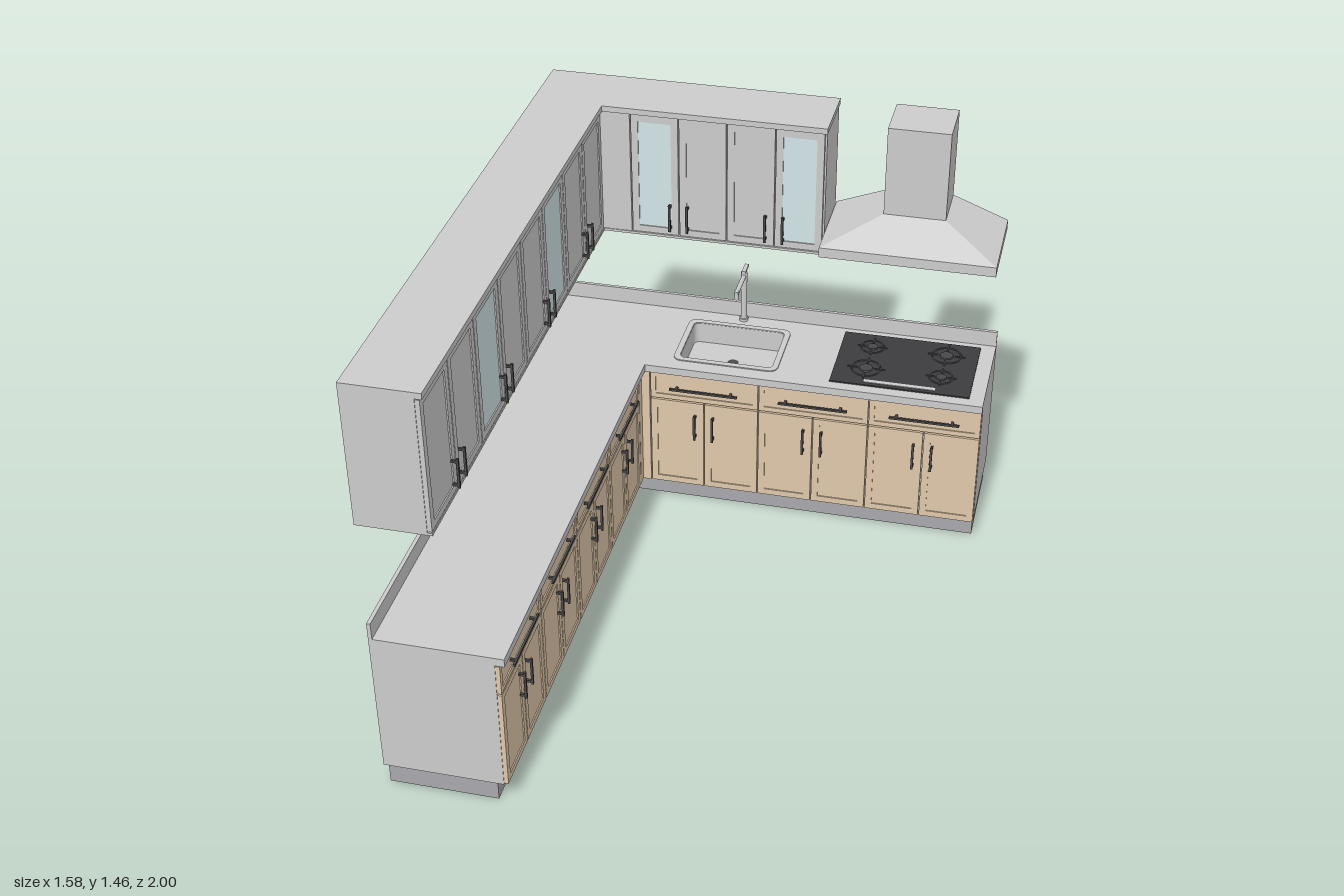
import * as THREE from 'three';

const mat = (color, side = THREE.FrontSide) => new THREE.MeshStandardMaterial({ color, side });
const grey = mat(0xcccccc), wood = mat(0xe0c8aa), stone = mat(0xf0f0ee), plinth = mat(0xa8a8ad);
const dark = mat(0x48484a), black = mat(0x3c3c3f), glassMat = mat(0xd2e4e8);

const BACK = -0.99, FRONT = 1.0, LEFT = -0.79, RIGHT = 0.79;

function add(parent, name, geo, material) {
  const m = new THREE.Mesh(geo, material);
  m.name = name;
  parent.add(m);
  return m;
}

// Box given by its limits on each axis
function box(parent, name, material, x0, x1, y0, y1, z0, z1) {
  const m = add(parent, name, new THREE.BoxGeometry(x1 - x0, y1 - y0, z1 - z0), material);
  m.position.set((x0 + x1) / 2, (y0 + y1) / 2, (z0 + z1) / 2);
  return m;
}

// Trace a rectangle with rounded corners (y of the shape is -z of the model)
function roundRect(path, x0, x1, y0, y1, r) {
  path.moveTo(x0 + r, y0);
  path.lineTo(x1 - r, y0).absarc(x1 - r, y0 + r, r, -Math.PI / 2, 0);
  path.lineTo(x1, y1 - r).absarc(x1 - r, y1 - r, r, 0, Math.PI / 2);
  path.lineTo(x0 + r, y1).absarc(x0 + r, y1 - r, r, Math.PI / 2, Math.PI);
  path.lineTo(x0, y0 + r).absarc(x0 + r, y0 + r, r, Math.PI, Math.PI * 1.5);
  return path;
}

// Extrude a plan shape upwards from y0 to y1
function slab(parent, name, material, shape, y0, y1) {
  const geo = new THREE.ExtrudeGeometry(shape, { depth: y1 - y0, bevelEnabled: false, curveSegments: 6 });
  geo.rotateX(-Math.PI / 2);
  const m = add(parent, name, geo, material);
  m.position.y = y0;
  return m;
}

// L-shaped plan: outer corner at (x0, z0), arms ending at x1 and z1, inner corner at (xi, zi)
function lShape(x0, x1, z0, z1, xi, zi, hole) {
  const pts = [[x0, z0], [x0, z1], [xi, z1], [xi, zi], [x1, zi], [x1, z0]];
  const s = new THREE.Shape(pts.map(([x, z]) => new THREE.Vector2(x, -z)));
  if (hole) s.holes.push(hole);
  return s;
}

// Bar handle on two posts, standing off the plane z = 0
function handle(parent, u, y, length, horizontal) {
  const g = new THREE.Group();
  g.name = 'handle';
  const h = length / 2, t = 0.004;
  box(g, 'handleBar', dark, -t, t, -h, h, 0.013, 0.02);
  for (const s of [-1, 1]) box(g, 'handlePost', dark, -t, t, s * h * 0.8 - t, s * h * 0.8 + t, -0.002, 0.014);
  if (horizontal) g.rotation.z = Math.PI / 2;
  g.position.set(u, y, 0);
  parent.add(g);
}

// Framed door or drawer front, its face on z = 0
function framedFront(parent, name, material, u0, u1, y0, y1, inset, panelMat = material) {
  const gap = 0.002, depth = 0.014;
  const rect = (path, a, b, c, d) => path.setFromPoints([[a, c], [b, c], [b, d], [a, d], [a, c]].map(p => new THREE.Vector2(...p)));
  const s = rect(new THREE.Shape(), u0 + gap, u1 - gap, y0 + gap, y1 - gap);
  s.holes.push(rect(new THREE.Path(), u0 + inset, u1 - inset, y0 + inset, y1 - inset));
  const frame = add(parent, name, new THREE.ExtrudeGeometry(s, { depth, bevelEnabled: false }), material);
  frame.position.z = -depth;
  box(parent, name + 'Panel', panelMat, u0 + inset, u1 - inset, y0 + inset, y1 - inset, -depth, -0.004);
}

// A run of fronts; the left run is turned to face +x (its u axis is then -z)
function run(parent, name, face, turned) {
  const g = new THREE.Group();
  g.name = name;
  if (turned) { g.rotation.y = Math.PI / 2; g.position.x = face; } else g.position.z = face;
  parent.add(g);
  return g;
}

// Base units: one drawer over a pair of doors
function baseUnits(g, start, width, count) {
  for (let i = 0; i < count; i++) {
    const a = start + i * width, b = a + width, c = (a + b) / 2;
    framedFront(g, 'drawer', wood, a, b, 0.435, 0.543, 0.02);
    handle(g, c, 0.488, 0.24, true);
    framedFront(g, 'baseDoor', wood, a, c, 0.08, 0.433, 0.025);
    framedFront(g, 'baseDoor', wood, c, b, 0.08, 0.433, 0.025);
    for (const s of [-1, 1]) handle(g, c + s * 0.032, 0.337, 0.1, false);
  }
}

// Wall doors in pairs; glazed lists the indices with glass panels
function wallDoors(g, start, width, count, glazed) {
  for (let i = 0; i < count; i++) {
    const a = start + i * width, b = a + width;
    framedFront(g, 'wallDoor', grey, a, b, 0.995, 1.434, 0.026, glazed.includes(i) ? glassMat : grey);
    handle(g, i % 2 ? a + 0.03 : b - 0.03, 1.067, 0.1, false);
  }
}

export function createModel() {
  const model = new THREE.Group();
  model.name = 'cornerKitchen';
  const sinkHole = () => roundRect(new THREE.Path(), -0.28, 0.06, 0.655, 0.9, 0.025);

  // Base cabinets
  slab(model, 'toeKick', plinth, lShape(-0.78, 0.785, -0.98, 0.985, -0.435, -0.64), 0, 0.08);
  slab(model, 'baseCarcass', grey, lShape(LEFT, RIGHT, BACK, FRONT, -0.41, -0.612), 0.078, 0.48);
  slab(model, 'baseCarcassTop', grey, lShape(LEFT, RIGHT, BACK, FRONT, -0.41, -0.612, sinkHole()), 0.48, 0.545);
  const baseBack = run(model, 'backBaseFronts', -0.597, false);
  baseUnits(baseBack, -0.365, 0.385, 3);
  box(baseBack, 'cornerFiller', wood, -0.409, -0.367, 0.08, 0.543, -0.014, 0);
  const baseLeft = run(model, 'leftBaseFronts', -0.396, true);
  baseUnits(baseLeft, -FRONT, 0.39, 4);
  box(baseLeft, 'cornerFiller', wood, 0.562, 0.598, 0.08, 0.543, -0.014, 0);

  // Worktop and upstand
  slab(model, 'countertop', stone, lShape(LEFT, RIGHT, BACK, FRONT, -0.38, -0.587, sinkHole()), 0.545, 0.573);
  slab(model, 'backsplash', stone, lShape(LEFT, RIGHT, BACK, FRONT, -0.778, -0.978), 0.573, 0.63);

  // Sink: rim, basin wall, floor and drain
  const sink = new THREE.Group();
  sink.name = 'sink';
  model.add(sink);
  const ring = (x0, x1, y0, y1, r, t) => {
    const s = roundRect(new THREE.Shape(), x0, x1, y0, y1, r);
    s.holes.push(roundRect(new THREE.Path(), x0 + t, x1 - t, y0 + t, y1 - t, r - t * 0.6));
    return s;
  };
  slab(sink, 'sinkRim', grey, ring(-0.295, 0.073, 0.64, 0.915, 0.03, 0.02), 0.572, 0.577);
  slab(sink, 'sinkWall', grey, ring(-0.28, 0.06, 0.655, 0.9, 0.025, 0.006), 0.495, 0.574);
  slab(sink, 'sinkFloor', grey, roundRect(new THREE.Shape(), -0.28, 0.06, 0.655, 0.9, 0.025), 0.49, 0.497);
  add(sink, 'drain', new THREE.CylinderGeometry(0.02, 0.02, 0.004, 20), dark).position.set(-0.11, 0.498, -0.78);

  // Faucet
  const faucet = new THREE.Group();
  faucet.name = 'faucet';
  faucet.position.set(-0.11, 0, -0.955);
  model.add(faucet);
  add(faucet, 'faucetBase', new THREE.CylinderGeometry(0.016, 0.016, 0.01, 20), grey).position.y = 0.578;
  add(faucet, 'faucetColumn', new THREE.CylinderGeometry(0.011, 0.011, 0.195, 20), grey).position.y = 0.672;
  const spout = add(faucet, 'spout', new THREE.CylinderGeometry(0.008, 0.008, 0.13, 16), grey);
  spout.rotation.x = Math.PI / 2;
  spout.position.set(0, 0.755, 0.065);
  add(faucet, 'spoutOutlet', new THREE.CylinderGeometry(0.008, 0.008, 0.032, 16), grey).position.set(0, 0.747, 0.125);
  box(faucet, 'lever', grey, -0.007, 0.007, 0.769, 0.777, -0.045, 0.011);

  // Cooktop with burners, pan supports and control strip
  const cooktop = new THREE.Group();
  cooktop.name = 'cooktop';
  model.add(cooktop);
  box(cooktop, 'cooktopPlate', black, 0.26, 0.74, 0.572, 0.578, -0.95, -0.627);
  box(cooktop, 'controlStrip', grey, 0.375, 0.62, 0.577, 0.58, -0.658, -0.642);
  for (const [x, z, r] of [[0.37, -0.87, 0.04], [0.63, -0.87, 0.05], [0.37, -0.73, 0.05], [0.63, -0.73, 0.04]]) {
    const burner = new THREE.Group();
    burner.name = 'burner';
    burner.position.set(x, 0.579, z);
    cooktop.add(burner);
    add(burner, 'burnerRing', new THREE.TorusGeometry(r, 0.003, 6, 28).rotateX(Math.PI / 2), dark);
    add(burner, 'burnerCap', new THREE.CylinderGeometry(r * 0.45, r * 0.5, 0.006, 20), dark);
    for (let i = 0; i < 4; i++) {
      const arm = add(burner, 'panSupport', new THREE.BoxGeometry(r * 0.7, 0.004, 0.005).translate(r * 0.95, 0.001, 0), dark);
      arm.rotation.y = i * Math.PI / 2;
    }
  }

  // Wall cabinets
  slab(model, 'wallCabinetBase', grey, lShape(LEFT, 0.2, BACK, FRONT, -0.56, -0.762), 0.985, 0.994);
  slab(model, 'wallCarcass', grey, lShape(LEFT, 0.2, BACK, FRONT, -0.575, -0.777), 0.994, 1.436);
  slab(model, 'cornice', grey, lShape(LEFT, 0.204, BACK, FRONT, -0.553, -0.755), 1.436, 1.456);
  const wallBack = run(model, 'backWallFronts', -0.763, false);
  wallDoors(wallBack, -0.46, 0.164, 4, [0, 3]);
  box(wallBack, 'wallFiller', grey, -0.575, -0.462, 0.995, 1.434, -0.014, 0);
  wallDoors(run(model, 'leftWallFronts', -0.561, true), -FRONT, 0.22, 8, [2, 5]);

  // Extractor hood
  const hood = new THREE.Group();
  hood.name = 'extractorHood';
  model.add(hood);
  const rim = new THREE.Shape([[0.203, 0.66], [0.79, 0.66], [0.79, 0.99], [0.203, 0.99]].map(p => new THREE.Vector2(...p)));
  rim.holes.push(new THREE.Path([[0.215, 0.672], [0.215, 0.978], [0.778, 0.978], [0.778, 0.672]].map(p => new THREE.Vector2(...p))));
  slab(hood, 'hoodRim', grey, rim, 1.035, 1.07);
  box(hood, 'hoodFilter', dark, 0.21, 0.785, 1.045, 1.068, -0.985, -0.665);
  const canopy = new THREE.BoxGeometry(1, 1, 1).toNonIndexed();
  const p = canopy.attributes.position;
  for (let i = 0; i < p.count; i++) {
    const top = p.getY(i) > 0, right = p.getX(i) > 0, front = p.getZ(i) > 0;
    const x = top ? (right ? 0.6 : 0.392) : (right ? 0.79 : 0.203);
    p.setXYZ(i, x, top ? 1.143 : 1.07, front ? (top ? -0.805 : -0.66) : BACK);
  }
  canopy.computeVertexNormals();
  add(hood, 'hoodCanopy', canopy, grey);
  box(hood, 'hoodChimney', grey, 0.392, 0.6, 1.143, 1.456, BACK, -0.805);

  return model;
}
